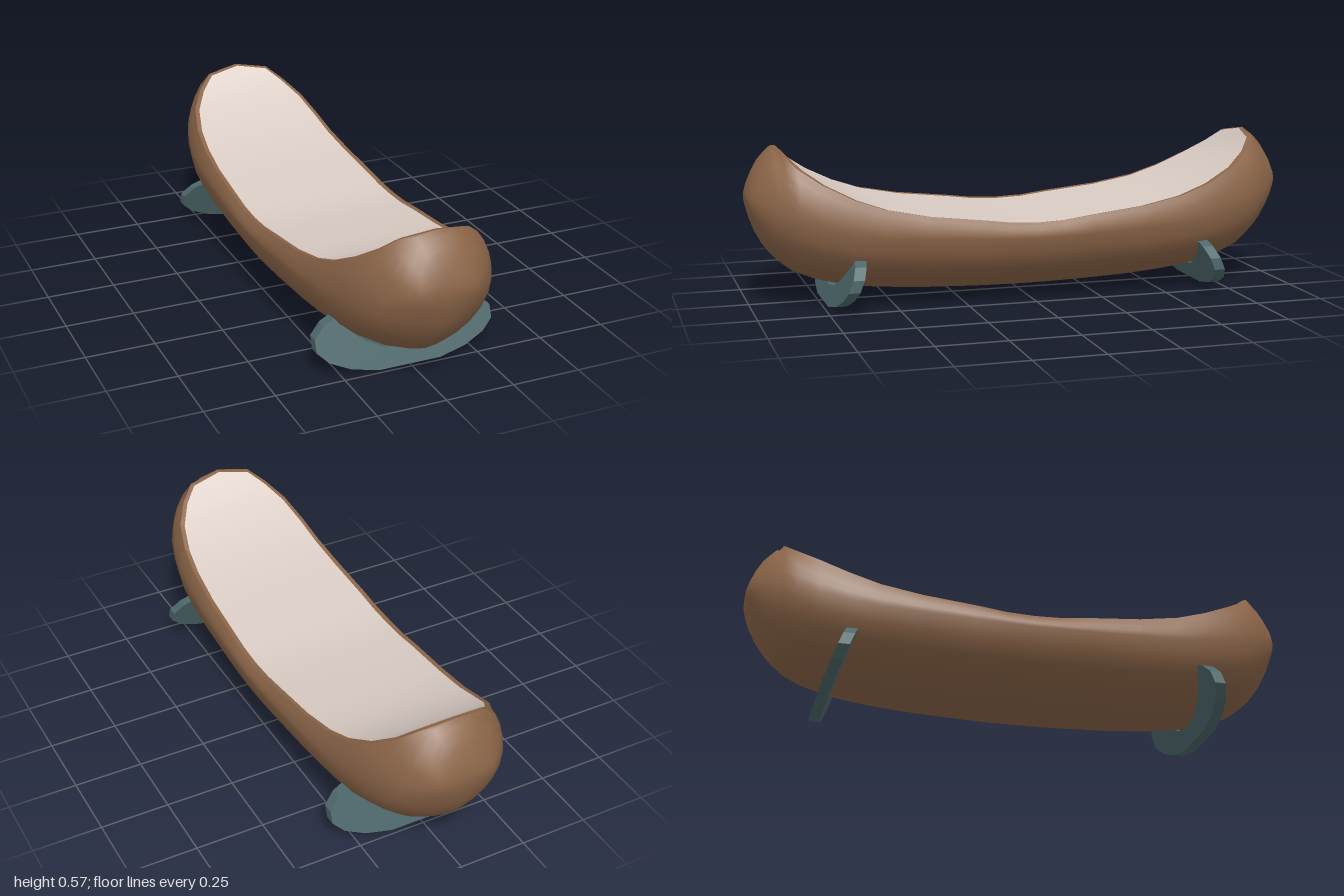
import * as THREE from 'three';

// Hull stations from the middle to one end:
// z, rim half width, rim height, beam half width, beam height, keel height
const HALF = [
  [0, 0.29, 0.297, 0.313, 0.245, 0.02],
  [0.1, 0.289, 0.301, 0.312, 0.247, 0.021],
  [0.2, 0.287, 0.314, 0.309, 0.25, 0.023],
  [0.4, 0.28, 0.336, 0.302, 0.26, 0.03],
  [0.55, 0.27, 0.365, 0.293, 0.27, 0.042],
  [0.66, 0.258, 0.403, 0.283, 0.285, 0.056],
  [0.765, 0.23, 0.455, 0.263, 0.31, 0.082],
  [0.84, 0.18, 0.506, 0.24, 0.335, 0.113],
  [0.885, 0.125, 0.551, 0.214, 0.353, 0.149],
  [0.905, 0, 0.572, 0.2, 0.362, 0.168],
  [0.925, 0, 0.553, 0.184, 0.37, 0.19],
  [0.95, 0, 0.525, 0.16, 0.378, 0.224],
  [0.973, 0, 0.485, 0.134, 0.384, 0.267],
  [0.99, 0, 0.443, 0.108, 0.386, 0.314],
  [1, 0, 0.41, 0.07, 0.386, 0.352],
  [1, 0, 0.386, 0, 0.386, 0.386],
];
const STATIONS = [
  ...HALF.slice(1).reverse().map(([z, ...rest]) => [-z, ...rest]),
  ...HALF,
];
// Stations along the opening, from tip to tip
const OPENING = STATIONS.filter(([z]) => Math.abs(z) <= 0.905);
const UPPER = 4, LOWER = 6, N = 2 * (UPPER + LOWER);

// Half of a section, from the rim round the beam to the keel
function sectionPoint([z, rx, ry, w, wy, by], k) {
  if (w === 0) return [0, wy, z];
  if (k < UPPER) {
    const top = Math.acos(rx / w);
    const a = top * (1 - k / UPPER);
    return [w * Math.cos(a), wy + (ry - wy) * Math.sin(a) / Math.sin(top), z];
  }
  if (k === UPPER + LOWER) return [0, by, z];
  const a = (k - UPPER) / LOWER * Math.PI / 2;
  return [w * Math.cos(a) ** 1.2, wy - (wy - by) * Math.sin(a), z];
}

// Shared vertices close the deck ends and the poles
function id(i, j) {
  const s = STATIONS[i];
  if (s[3] === 0) j = 0;
  else if (s[1] === 0 && j === N) j = 0;
  return i * (N + 1) + j;
}

function meshGeometry(pos, index) {
  const g = new THREE.BufferGeometry();
  g.setAttribute('position', new THREE.Float32BufferAttribute(pos, 3));
  if (index) g.setIndex(index);
  g.computeVertexNormals();
  return g;
}

function hullGeometry() {
  const pos = [], index = [];
  for (const s of STATIONS) {
    for (let j = 0; j <= N; j++) {
      const [x, y, z] = sectionPoint(s, Math.min(j, N - j));
      pos.push(j > N / 2 ? -x : x, y, z);
    }
  }
  for (let i = 0; i < STATIONS.length - 1; i++) {
    for (let j = 0; j < N; j++) {
      const a = id(i, j), b = id(i + 1, j), c = id(i + 1, j + 1), d = id(i, j + 1);
      if (a !== d) index.push(a, b, d);
      if (b !== c) index.push(b, c, d);
    }
  }
  return meshGeometry(pos, index);
}

// Outer and inner edge of the rim at one station, on side +1 or -1
const outerEdge = ([z, rx, ry], side) => [side * rx, ry, z];
const innerEdge = ([z, rx, ry], side) => [side * rx * 0.945, ry - 0.003, z * 0.983];

// Flat strip round the opening
function rimGeometry() {
  const pos = [];
  for (let i = 0; i < OPENING.length - 1; i++) {
    const s = OPENING[i], t = OPENING[i + 1];
    for (const side of [1, -1]) {
      const quad = [outerEdge(s, side), innerEdge(s, side), innerEdge(t, side), outerEdge(t, side)];
      if (side < 0) quad.reverse();
      for (const k of [0, 1, 2, 0, 2, 3]) pos.push(...quad[k]);
    }
  }
  return meshGeometry(pos);
}

// Pale surface spanning the opening, level across and curved lengthwise
function liningGeometry() {
  const pos = [], index = [];
  OPENING.forEach((s, i) => {
    pos.push(...innerEdge(s, -1), ...innerEdge(s, 1));
    const a = 2 * i;
    if (i < OPENING.length - 1) index.push(a, a + 2, a + 1, a + 2, a + 3, a + 1);
  });
  return meshGeometry(pos, index);
}

// Cradle plate, leaning towards the middle of the hull
function standGeometry() {
  const right = [
    [0.115, 0], [0.215, 0.021], [0.29, 0.054], [0.33, 0.092], [0.33, 0.135], [0.29, 0.173],
    [0.243, 0.192], [0.215, 0.157], [0.155, 0.103], [0.08, 0.067], [0, 0.056],
  ];
  const left = right.slice(0, -1).reverse().map(([x, y]) => [-x, y]);
  const shape = new THREE.Shape([...right, ...left].map(([x, y]) => new THREE.Vector2(x, y)));
  const g = new THREE.ExtrudeGeometry(shape, { depth: 0.04, bevelEnabled: false });
  const p = g.attributes.position;
  for (let i = 0; i < p.count; i++) p.setZ(i, p.getZ(i) + 0.693 - 0.385 * p.getY(i));
  g.computeVertexNormals();
  return g;
}

export function createModel() {
  const mat = (name, color) => Object.assign(new THREE.MeshStandardMaterial({ color }), { name });
  const wood = mat('brown wood', 0x8b6548);
  const pale = mat('pale lining', 0xd9ccc4);
  const slate = mat('slate teal', 0x4c676a);
  wood.side = pale.side = THREE.DoubleSide;

  const model = new THREE.Group();
  model.name = 'canoe';
  const add = (name, geometry, material) => {
    const mesh = new THREE.Mesh(geometry, material);
    mesh.name = name;
    model.add(mesh);
    return mesh;
  };

  add('hull', hullGeometry(), wood);
  add('rim', rimGeometry(), wood);
  add('lining', liningGeometry(), pale);

  // Two matching stands
  const stand = standGeometry();
  add('frontStand', stand, slate);
  add('backStand', stand, slate).rotation.y = Math.PI;
  return model;
}
